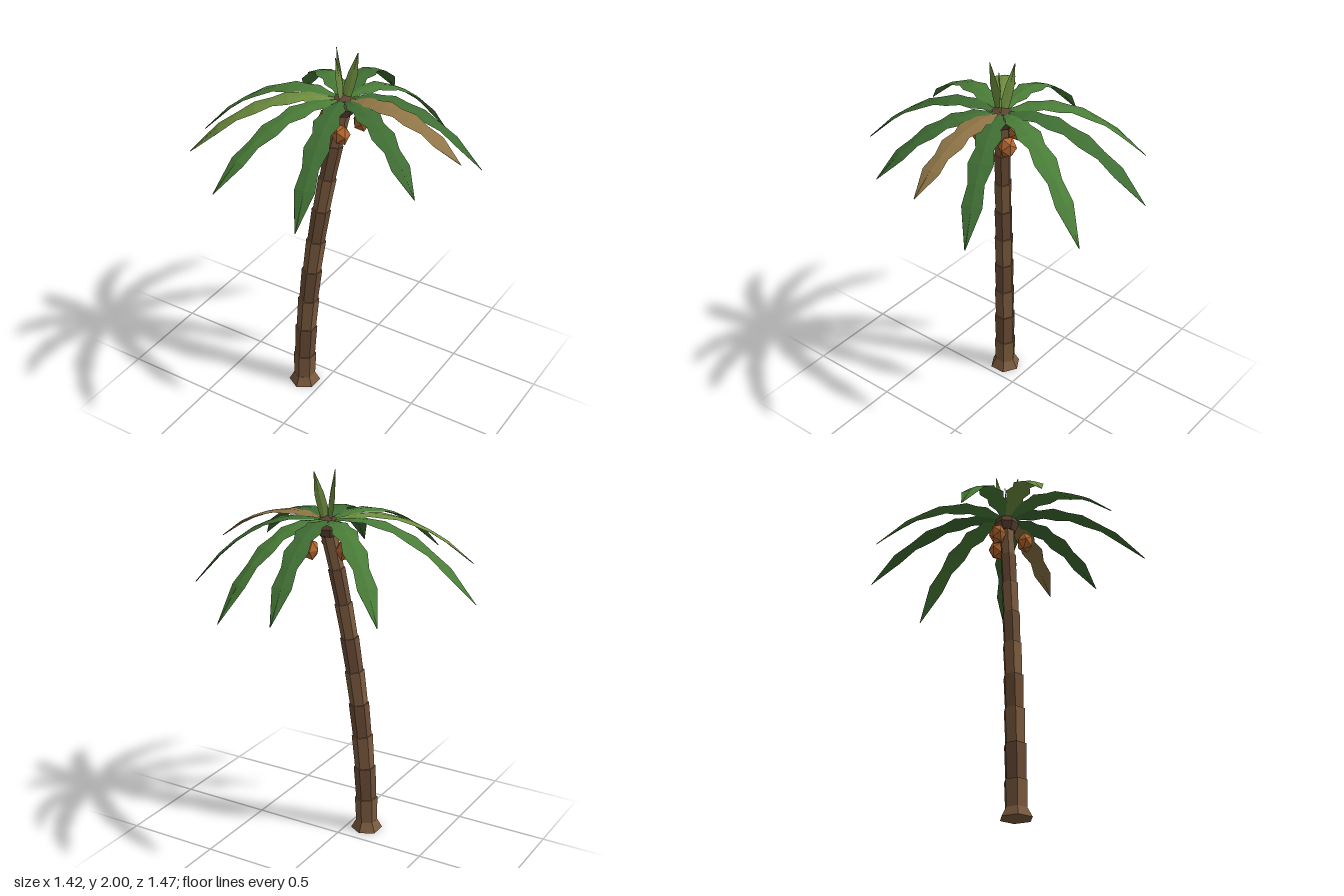
import * as THREE from 'three';

const CROWN = new THREE.Vector3(0.065, 1.71, 0.015);
const UP = new THREE.Vector3(0, 1, 0);

const material = (color) => new THREE.MeshStandardMaterial({ color, flatShading: true });

function add(group, name, geometry, mat) {
  const mesh = new THREE.Mesh(geometry, mat);
  mesh.name = name;
  group.add(mesh);
  return mesh;
}

// Centre line of the leaning trunk at height y
function trunkPoint(y) {
  const t = Math.pow(y / 1.7, 1.8);
  return new THREE.Vector3(-0.105 + 0.17 * t, y, 0.135 - 0.12 * t);
}

// Thin blade with a diamond cross-section swept along points
function bladeGeometry(points, side, halfWidths, thickness) {
  const positions = [];
  const index = [];
  points.forEach((p, i) => {
    const before = points[Math.max(i - 1, 0)];
    const after = points[Math.min(i + 1, points.length - 1)];
    const tangent = after.clone().sub(before).normalize();
    const across = side.clone().addScaledVector(tangent, -side.dot(tangent)).normalize();
    const normal = tangent.clone().cross(across);
    const w = Math.max(halfWidths[i], 0.002);
    const h = Math.min(thickness, w);
    [[across, w], [normal, h], [across, -w], [normal, -h]].forEach(([dir, d]) => {
      positions.push(...p.clone().addScaledVector(dir, d).toArray());
    });
    if (i === 0) return;
    const a = (i - 1) * 4;
    for (let k = 0; k < 4; k++) {
      const n = (k + 1) % 4;
      index.push(a + k, a + n, a + 4 + k, a + n, a + 4 + n, a + 4 + k);
    }
  });
  const e = (points.length - 1) * 4;
  index.push(0, 2, 1, 0, 3, 2, e, e + 1, e + 2, e, e + 2, e + 3);
  const geometry = new THREE.BufferGeometry();
  geometry.setAttribute('position', new THREE.Float32BufferAttribute(positions, 3));
  geometry.setIndex(index);
  const flat = geometry.toNonIndexed();
  flat.computeVertexNormals();
  return flat;
}

function createTrunk() {
  const trunk = new THREE.Group();
  trunk.name = 'trunk';
  const barks = [material(0x7a5a3e), material(0x6a4c35)];

  // Flared foot
  const foot = add(trunk, 'trunkFoot', new THREE.CylinderGeometry(0.058, 0.085, 0.05, 6), barks[0]);
  foot.position.copy(trunkPoint(0)).setY(0.025);

  // Stacked hexagonal segments, each a little wider at its top
  const count = 9;
  const step = 1.69 / count;
  for (let i = 0; i < count; i++) {
    const from = trunkPoint(i === 0 ? 0.03 : i * step);
    const to = trunkPoint((i + 1) * step);
    const axis = to.clone().sub(from);
    const radius = 0.057 - 0.0023 * i;
    const geometry = new THREE.CylinderGeometry(radius * 1.08, radius, axis.length(), 6);
    const segment = add(trunk, 'trunkSegment', geometry, barks[i % 2]);
    segment.position.copy(from).add(to).multiplyScalar(0.5);
    segment.quaternion.setFromUnitVectors(UP, axis.normalize());
  }
  return trunk;
}

function createFronds() {
  const fronds = new THREE.Group();
  fronds.name = 'fronds';
  const green = material(0x4a7d38);
  const darkGreen = material(0x3f6d33);
  const lightGreen = material(0x6f8f40);
  const dry = material(0x8f7546);

  // Tip of each drooping frond and its colour
  const tips = [
    [-0.075, 1.45, -0.74, darkGreen], [0.30, 1.36, -0.63, green],
    [0.69, 1.41, -0.27, darkGreen], [0.71, 1.585, 0.01, dry],
    [0.635, 1.535, 0.32, darkGreen], [0.255, 1.45, 0.73, darkGreen],
    [-0.215, 1.49, 0.71, green], [-0.535, 1.50, 0.465, lightGreen],
    [-0.71, 1.41, 0.12, green], [-0.485, 1.435, -0.475, green],
  ];
  const stations = [0.05, 0.12, 0.19, 0.27, 0.36, 0.46, 0.57, 0.69, 0.81, 1];
  const halfWidths = [0.022, 0.03, 0.055, 0.045, 0.066, 0.045, 0.062, 0.04, 0.05, 0];
  const startY = 1.745;
  const rise = 0.33;

  for (const [x, y, z, mat] of tips) {
    const out = new THREE.Vector3(x - CROWN.x, 0, z - CROWN.z);
    const length = out.length();
    out.normalize();
    const droop = (startY + rise * length - y) / (length * length);
    const points = stations.map((t) => {
      const s = t * length;
      const p = CROWN.clone().addScaledVector(out, s);
      return p.setY(startY + rise * s - droop * s * s);
    });
    const side = UP.clone().cross(out);
    add(fronds, 'frond', bladeGeometry(points, side, halfWidths, 0.007), mat);
  }

  // Three young upright blades, set edge-on around the centre
  for (let i = 0; i < 3; i++) {
    const angle = (i * Math.PI * 2) / 3;
    const out = new THREE.Vector3(Math.sin(angle), 0, Math.cos(angle));
    const profile = [[0.015, 1.74], [0.027, 1.82], [0.045, 1.89], [0.07, 2]];
    const points = profile.map(([s, y]) => CROWN.clone().addScaledVector(out, s).setY(y));
    const blade = bladeGeometry(points, out, [0.014, 0.026, 0.024, 0], 0.004);
    add(fronds, 'youngFrond', blade, lightGreen);
  }
  return fronds;
}

function createCoconuts() {
  const coconuts = new THREE.Group();
  coconuts.name = 'coconuts';
  const husk = material(0xb5682f);
  for (let i = 0; i < 3; i++) {
    const angle = THREE.MathUtils.degToRad(65 + 120 * i);
    const coconut = add(coconuts, 'coconut', new THREE.IcosahedronGeometry(0.047, 0), husk);
    coconut.scale.y = 1.25;
    coconut.rotation.y = i * 1.3;
    coconut.position.set(CROWN.x + 0.1 * Math.cos(angle), 1.615, CROWN.z + 0.1 * Math.sin(angle));
  }
  return coconuts;
}

export function createModel() {
  const palm = new THREE.Group();
  palm.name = 'palmTree';
  palm.add(createTrunk(), createFronds(), createCoconuts());

  // Woody heart that the fronds grow from
  const heart = add(palm, 'crownHeart', new THREE.SphereGeometry(0.07, 7, 4), material(0x5e4433));
  heart.scale.y = 0.85;
  heart.position.copy(CROWN).setY(1.72);
  return palm;
}
